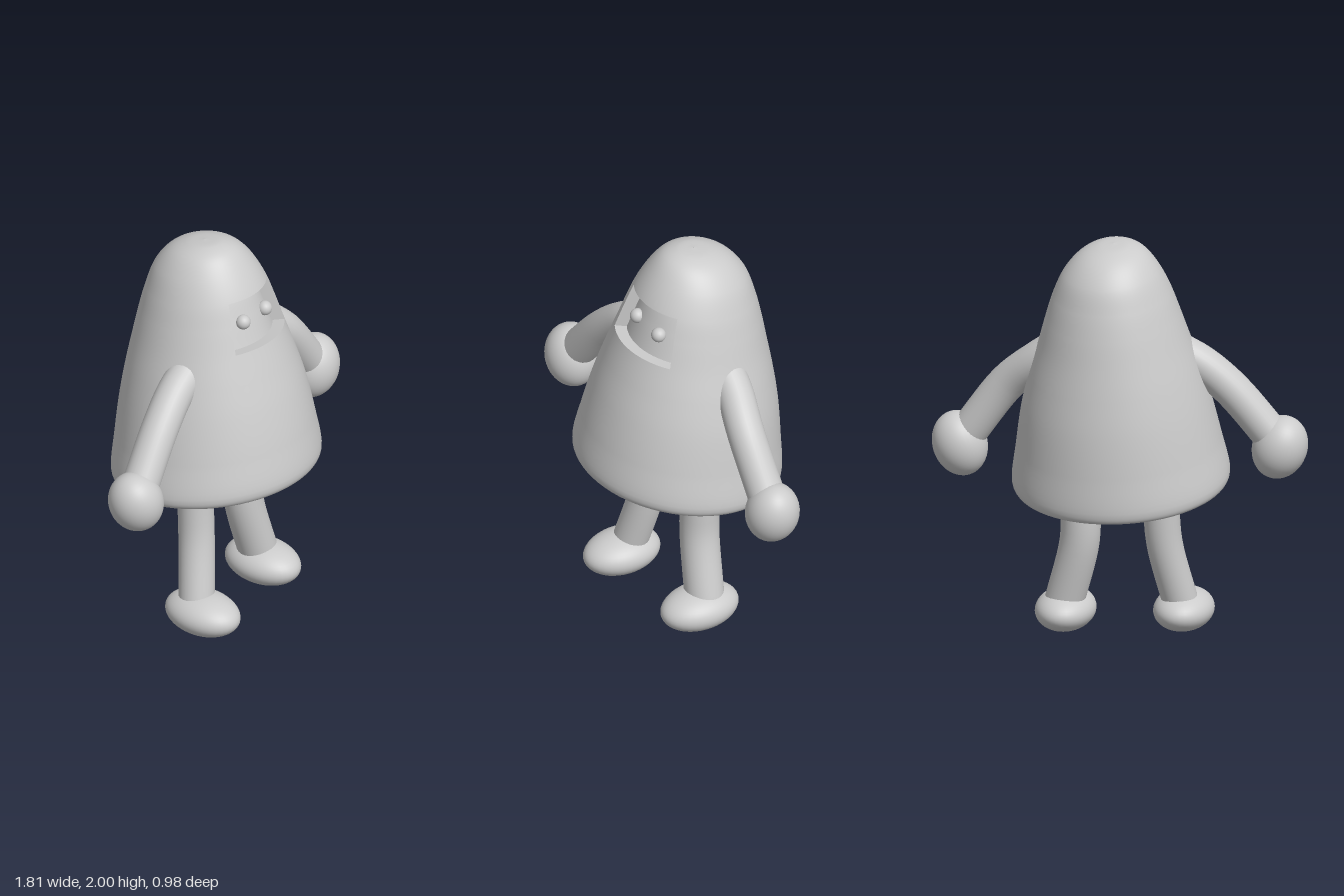
import * as THREE from 'three';
import { ParametricGeometry } from 'three/addons/geometries/ParametricGeometry.js';
import { mergeGeometries } from 'three/addons/utils/BufferGeometryUtils.js';

const grey = new THREE.MeshStandardMaterial({ color: 0xcccccc, side: THREE.DoubleSide });

// Body rings, bottom to top: centre y, x radius, z radius, centre x, centre z
const RINGS = [
  [0.772, 0.475, 0.45, -0.017, 0],
  [0.778, 0.505, 0.475, -0.017, 0],
  [0.81, 0.522, 0.49, -0.016, 0],
  [1.0, 0.492, 0.472, -0.008, -0.015],
  [1.2, 0.453, 0.44, 0, -0.035],
  [1.36, 0.41, 0.403, 0.003, -0.051],
  [1.51, 0.362, 0.364, 0.005, -0.065],
  [1.64, 0.322, 0.33, 0.008, -0.076],
  [1.755, 0.283, 0.294, 0.01, -0.085],
  [1.87, 0.228, 0.24, 0.01, -0.098],
  [1.95, 0.16, 0.172, 0.006, -0.096],
  [1.988, 0.085, 0.095, 0.003, -0.09],
  [1.998, 0.002, 0.002, 0, -0.085],
];
const sizes = new THREE.CatmullRomCurve3(RINGS.map((r) => new THREE.Vector3(r[0], r[1], r[2])));
const centres = new THREE.CatmullRomCurve3(RINGS.map((r) => new THREE.Vector3(r[3], r[0], r[4])));
const rowAt = (i) => i / (RINGS.length - 1);

// Point on the tilted body shell, sunk inwards by depth
function bodyPoint(theta, v, depth, target) {
  const s = sizes.getPoint(v);
  const c = centres.getPoint(v);
  const x = Math.sin(theta) * (s.y - depth);
  const z = Math.cos(theta) * (s.z - depth);
  target.set(c.x + x, s.x - 0.03 * x + 0.14 * z, c.z + z);
}

function createModel() {
  const group = new THREE.Group();
  const add = (name, geometry, parent = group) => {
    const mesh = new THREE.Mesh(geometry, grey);
    mesh.name = name;
    parent.add(mesh);
    return mesh;
  };
  const lerp = THREE.MathUtils.lerp;

  // Body shell in patches around the face opening
  const T0 = -0.54, T1 = 0.72, V0 = rowAt(6), V1 = rowAt(8), DEPTH = 0.058;
  const patch = (t0, t1, v0, v1, nt, nv, depth = 0) => new ParametricGeometry(
    (u, v, p) => bodyPoint(lerp(t0, t1, u), lerp(v0, v1, v), depth, p), nt, nv);
  const TURN = 2 * Math.PI;
  add('body', mergeGeometries([
    patch(T0, T1, 0, V0, 14, 36),
    patch(T1, T0 + TURN, 0, V0, 54, 36),
    patch(T0, T1, V1, 1, 14, 24),
    patch(T1, T0 + TURN, V1, 1, 54, 24),
    patch(T1, T0 + TURN, V0, V1, 54, 10),
  ]));

  // Sunken face panel and the walls of its opening
  add('facePanel', patch(T0, T1, V0, V1, 14, 10, DEPTH));
  const walls = [];
  for (const v of [V0, V1]) {
    walls.push(new ParametricGeometry((a, b, p) => bodyPoint(lerp(T0, T1, a), v, b * DEPTH, p), 14, 1));
  }
  for (const t of [T0, T1]) {
    walls.push(new ParametricGeometry((a, b, p) => bodyPoint(t, lerp(V0, V1, a), b * DEPTH, p), 10, 1));
  }
  add('faceOpening', mergeGeometries(walls));

  // Eyes
  for (const [x, y, z] of [[-0.06, 1.67, 0.197], [0.115, 1.66, 0.19]]) {
    add('eye', new THREE.SphereGeometry(0.036, 20, 14)).position.set(x, y, z);
  }

  // Recessed underside with a ring of radial ribs
  const base = new THREE.Group();
  base.name = 'underside';
  base.position.set(-0.017, 0.772, 0);
  base.rotation.set(-0.139, 0, -0.03);
  base.scale.set(1.05, 1, 1.01);
  group.add(base);
  add('undersidePlate', new THREE.LatheGeometry(
    [[0, 0.025], [0.425, 0.025], [0.425, 0.025], [0.43, 0], [0.43, 0], [0.455, 0]]
      .map(([r, y]) => new THREE.Vector2(r, y)), 64), base);
  const ribs = [];
  for (let i = 0; i < 72; i++) {
    const rib = new THREE.BoxGeometry(0.012, 0.01, 0.05);
    rib.translate(0, 0.022, 0.385);
    ribs.push(rib.rotateY((i / 72) * TURN));
  }
  add('undersideRibs', mergeGeometries(ribs), base);

  // Arms and legs: bent tubes
  const limb = (name, radius, points) => add(name, new THREE.TubeGeometry(
    new THREE.CatmullRomCurve3(points.map((p) => new THREE.Vector3(...p))), 14, radius, 28));
  limb('rightArm', 0.09, [[-0.29, 1.44, 0.04], [-0.4, 1.38, 0.05], [-0.54, 1.26, 0.07], [-0.75, 1.01, 0.1]]);
  limb('leftArm', 0.09, [[0.29, 1.445, -0.08], [0.38, 1.38, -0.07], [0.53, 1.25, -0.035], [0.73, 0.98, -0.03]]);
  limb('rightLeg', 0.087, [[-0.207, 0.82, 0.02], [-0.208, 0.65, 0.025], [-0.22, 0.47, 0.04], [-0.29, 0.15, 0.095]]);
  limb('leftLeg', 0.096, [[0.186, 0.82, 0], [0.184, 0.65, 0], [0.188, 0.47, 0.005], [0.272, 0.14, 0.03]]);

  // Hands and feet: stretched spheres
  const ball = (name, position, scale, turn = 0) => {
    const mesh = add(name, new THREE.SphereGeometry(1, 36, 24));
    mesh.position.set(...position);
    mesh.scale.set(...scale);
    mesh.rotation.z = turn;
  };
  ball('rightHand', [-0.77, 0.975, 0.105], [0.132, 0.158, 0.133], 0.35);
  ball('leftHand', [0.767, 0.925, -0.033], [0.132, 0.16, 0.13], -0.3);
  ball('rightFoot', [-0.292, 0.122, 0.135], [0.144, 0.1, 0.2]);
  ball('leftFoot', [0.27, 0.105, 0.058], [0.144, 0.101, 0.203]);

  return group;
}

export { createModel };
